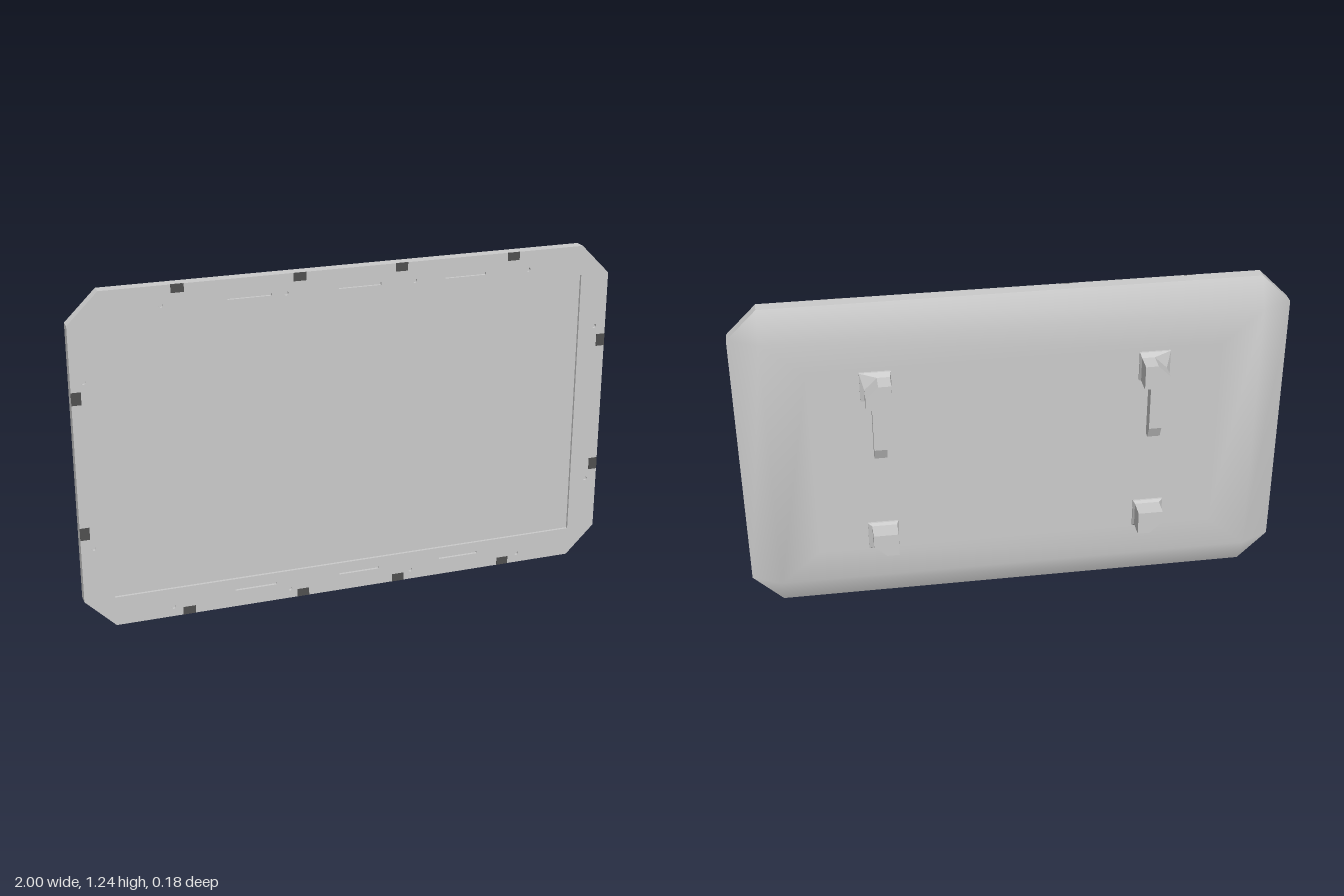
import * as THREE from 'three';
import { mergeVertices } from 'three/addons/utils/BufferGeometryUtils.js';

const grey = new THREE.MeshStandardMaterial({ color: 0xcccccc });
const dark = new THREE.MeshStandardMaterial({ color: 0x505050 });
const MID = 0.62; // height of the panel centre
const FRONT = 0.092, SCREEN = 0.082, RIM = 0.048, BACK = -0.004, TIP = -0.09;

const toPoints = (list) => list.map(([x, y]) => new THREE.Vector2(x, y));
const rect = (x, y, w, h) => [[x - w, y - h], [x + w, y - h], [x + w, y + h], [x - w, y + h]];

// Outline of eight points; doubled corners make a plain rectangle
const outline = (w, h, cut) => [
  [w - cut, -h], [w, -h + cut], [w, h - cut], [w - cut, h],
  [-w + cut, h], [-w, h - cut], [-w, -h + cut], [-w + cut, -h],
];

// Skin over counter-clockwise rings that run towards -z, with a cap on the last
function loft(rings, smooth) {
  const n = rings[0].points.length, pos = [], index = [];
  for (const { points, z } of rings) for (const [x, y] of points) pos.push(x, y, z);
  for (let r = 0; r < rings.length - 1; r++) {
    for (let i = 0; i < n; i++) {
      const a = r * n + i, b = r * n + (i + 1) % n;
      index.push(a, a + n, b + n, a, b + n, b);
    }
  }
  const last = (rings.length - 1) * n;
  for (let i = 1; i < n - 1; i++) index.push(last, last + i + 1, last + i);
  let geo = new THREE.BufferGeometry();
  geo.setAttribute('position', new THREE.Float32BufferAttribute(pos, 3));
  geo.setIndex(index);
  geo = smooth ? mergeVertices(geo) : geo.toNonIndexed();
  geo.computeVertexNormals();
  return geo;
}

function slab(points, z0, z1, holes = []) {
  const shape = new THREE.Shape(toPoints(points));
  shape.holes = holes;
  return new THREE.ExtrudeGeometry(shape, { depth: z1 - z0, bevelEnabled: false, curveSegments: 6 })
    .translate(0, 0, z0);
}

export function createModel() {
  const model = new THREE.Group();
  const add = (name, geo, y = 0, material = grey) => {
    const mesh = new THREE.Mesh(geo, material);
    mesh.name = name;
    mesh.position.y = y;
    model.add(mesh);
    return mesh;
  };
  const body = outline(1, 0.62, 0.11);

  // Body whose front is the screen
  add('screenBody', slab(body, RIM, SCREEN), MID);

  // Front frame with screen opening, speaker slots and screw holes
  const holes = [new THREE.Path(toPoints(rect(0, 0, 0.89, 0.51)))];
  const screw = (x, y) => holes.push(new THREE.Path().absarc(x, y, 0.008, 0, Math.PI * 2, true));
  for (const s of [-1, 1]) {
    for (const x of [-0.37, 0.03, 0.43]) {
      holes.push(new THREE.Path(toPoints(rect(x, s * 0.552 + 0, 0.078, 0.005))));
    }
    for (const x of [-0.68, -0.24, 0.235, 0.675]) screw(x, s < 0 ? -0.583 : 0.55);
    for (const y of [-0.308, 0.308]) screw(s * 0.955, y);
  }
  add('frontFrame', slab(body, SCREEN, FRONT, holes), MID);

  // Tapered back shell
  add('backShell', loft([
    { points: body, z: RIM },
    { points: outline(0.89, 0.51, 0), z: BACK },
    { points: outline(0.74, 0.38, 0), z: BACK },
  ], true), MID);

  // Dark pads around the frame edge
  const pad = (x, y, w, h) => {
    add('edgePad', new THREE.BoxGeometry(w, h, 0.004), MID + y, dark).position.set(x, MID + y, FRONT - 0.001);
  };
  for (const s of [-1, 1]) {
    for (const x of [-0.622, -0.19, 0.185, 0.615]) pad(x, s * 0.605, 0.046, 0.03);
    for (const y of [-0.248, 0.252]) pad(s * 0.983, y, 0.034, 0.046);
  }

  // Wall mounts: square foot narrowing to a block with its outer corner cut
  const mountRing = (sx, sy, h, cut, shift) => {
    const points = [[-h, -h], [h, -h], [h, h - cut], [h - cut, h], [-h, h]]
      .map(([x, y]) => [sx * (x - shift), sy * (y - shift)]);
    return sx * sy < 0 ? points.reverse() : points;
  };
  // Hanging tongue, drawn from the side
  const tongue = [[0.034, 0.9], [0.034, 0.67], [0.058, 0.67], [0.077, 0.715], [0.077, 0.9]];

  for (const sx of [-1, 1]) {
    for (const sy of [-1, 1]) {
      const foot = mountRing(sx, sy, 0.056, 0, 0);
      const mount = add('wallMount', loft([
        { points: foot, z: BACK },
        { points: foot, z: -0.011 },
        { points: mountRing(sx, sy, 0.046, 0.046, 0.005), z: -0.024 },
        { points: mountRing(sx, sy, 0.046, 0.046, 0.005), z: TIP },
      ]), MID + sy * 0.32);
      mount.position.x = sx * 0.5;
    }
    const hook = slab(tongue, -0.023, 0.023).rotateY(Math.PI / 2);
    add('mountTongue', hook).position.x = sx * 0.497;
  }
  return model;
}
